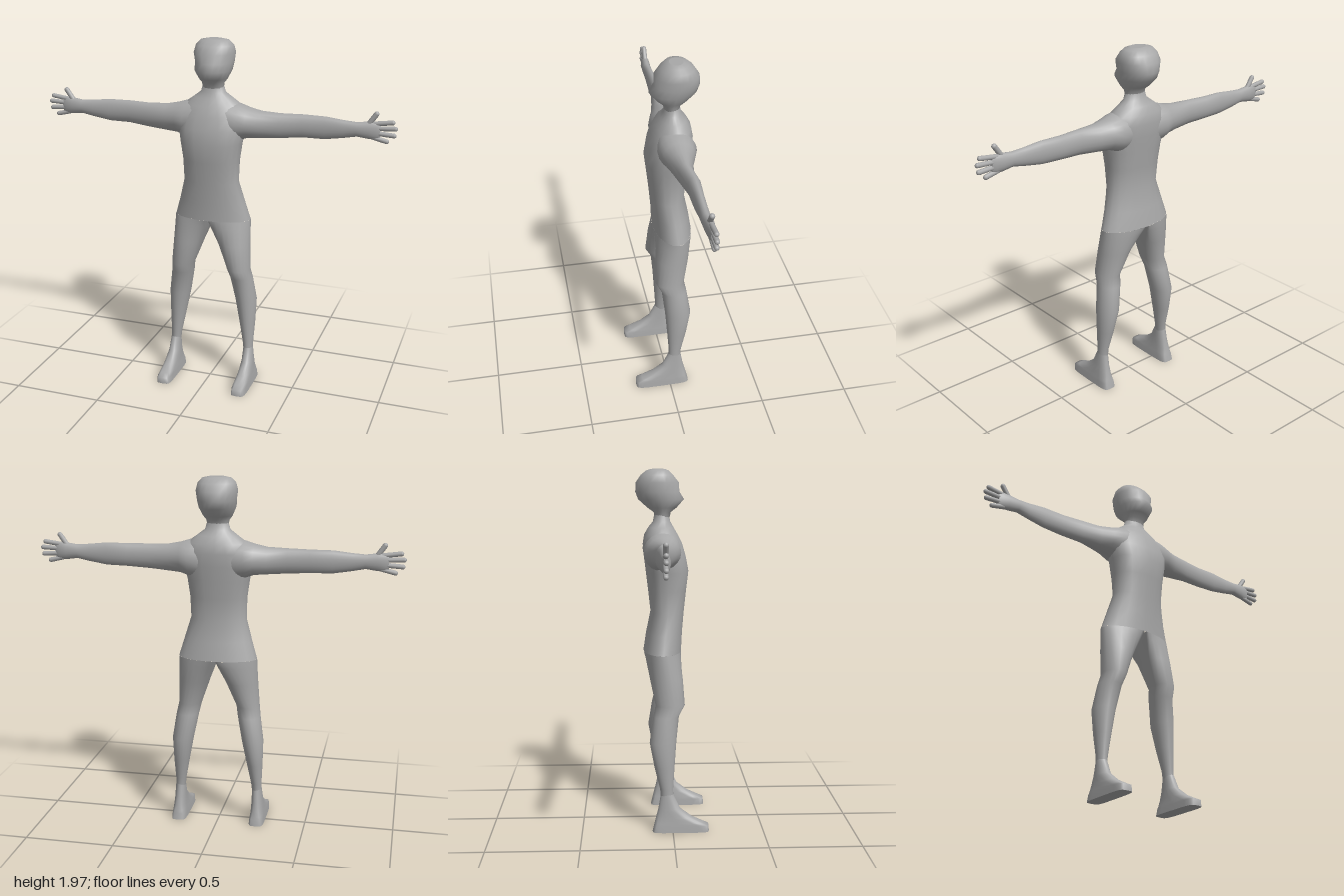
import * as THREE from 'three';

const SEG = 20;
const skin = new THREE.MeshStandardMaterial({ color: 0xa8a8a8 });
skin.name = 'plain grey';

const pow = (v, p) => Math.sign(v) * Math.abs(v) ** p;

// Upright section: height, x range, z range, p = squareness, d = blend to a half ellipse flat on its inner side
function levelRing([y, x0, x1, z0, z1, p = 1, d = 0]) {
  return Array.from({ length: SEG }, (_, i) => {
    const t = (i / SEG) * Math.PI * 2;
    const c = pow(Math.cos(t), p);
    const s = Math.abs(Math.sin(t)) < 1e-6 ? 0 : pow(Math.sin(t), p);
    const half = Math.sign(s) * Math.sqrt(Math.max(0, 1 - ((1 + c) / 2) ** 2));
    const z = s * (1 - d) + half * d;
    return [(x0 + x1) / 2 + ((x1 - x0) / 2) * c, y, (z0 + z1) / 2 + ((z1 - z0) / 2) * z];
  });
}

// Sideways section for the arms: x, y range, z range
function sideRing([x, y0, y1, z0, z1]) {
  return Array.from({ length: SEG }, (_, i) => {
    const t = (i / SEG) * Math.PI * 2;
    return [x, (y0 + y1) / 2 + ((y1 - y0) / 2) * Math.cos(t), (z0 + z1) / 2 - ((z1 - z0) / 2) * Math.sin(t)];
  });
}

// Smooth skin through a row of sections, mirrored when side is -1
function loft(name, rings, { side = 1, capStart = false, capEnd = false } = {}) {
  const pos = [], idx = [];
  const add = (p) => pos.push(p[0] * side, p[1], p[2]) / 3 - 1;
  const tri = (a, b, c) => (side > 0 ? idx.push(a, b, c) : idx.push(a, c, b));
  rings.forEach((r) => r.forEach(add));
  for (let k = 0; k < rings.length - 1; k++) {
    for (let i = 0; i < SEG; i++) {
      const j = (i + 1) % SEG;
      const a = k * SEG + i, b = k * SEG + j;
      tri(a, a + SEG, b);
      tri(b, a + SEG, b + SEG);
    }
  }
  // Caps have their own corners so the rim stays crisp
  const cap = (ring, up) => {
    const mid = [0, 1, 2].map((n) => ring.reduce((sum, p) => sum + p[n], 0) / SEG);
    const m = add(mid);
    const first = m + 1;
    ring.forEach(add);
    for (let i = 0; i < SEG; i++) {
      const a = first + i, b = first + ((i + 1) % SEG);
      up ? tri(m, b, a) : tri(m, a, b);
    }
  };
  if (capStart) cap(rings[0], false);
  if (capEnd) cap(rings[rings.length - 1], true);
  const geo = new THREE.BufferGeometry();
  geo.setAttribute('position', new THREE.Float32BufferAttribute(pos, 3));
  geo.setIndex(idx);
  geo.computeVertexNormals();
  const mesh = new THREE.Mesh(geo, skin);
  mesh.name = name;
  return mesh;
}

// Rounded finger between two points
function finger(name, from, to, radius, side) {
  const a = new THREE.Vector3(from[0] * side, from[1], from[2]);
  const b = new THREE.Vector3(to[0] * side, to[1], to[2]);
  const dir = b.clone().sub(a);
  const geo = new THREE.CapsuleGeometry(radius, dir.length() - radius, 4, 10);
  const mesh = new THREE.Mesh(geo, skin);
  mesh.name = name;
  mesh.position.copy(a).add(b).multiplyScalar(0.5).addScaledVector(dir.clone().normalize(), -radius / 2);
  mesh.quaternion.setFromUnitVectors(new THREE.Vector3(0, 1, 0), dir.normalize());
  return mesh;
}

export function createModel() {
  const model = new THREE.Group();
  model.name = 'figure';
  const centred = ([y, w, z0, z1, p]) => levelRing([y, -w, w, z0, z1, p]);

  // Torso from hips to neck
  model.add(loft('torso', [
    [0.98, 0.22, -0.155, 0.055],
    [1.08, 0.19, -0.14, 0.06],
    [1.2, 0.155, -0.115, 0.07, 0.9],
    [1.32, 0.158, -0.128, 0.083, 0.85],
    [1.42, 0.172, -0.14, 0.095, 0.85],
    [1.5, 0.188, -0.15, 0.08, 0.85],
    [1.57, 0.185, -0.156, 0.06, 0.9],
    [1.62, 0.165, -0.148, 0.035],
    [1.66, 0.11, -0.125, 0.012],
    [1.69, 0.07, -0.1, -0.005],
    [1.73, 0.058, -0.092, -0.012],
  ].map(centred)));

  // Head
  model.add(loft('head', [
    [1.7, 0.058, -0.09, -0.012],
    [1.74, 0.062, -0.095, -0.002],
    [1.765, 0.08, -0.13, 0.03],
    [1.81, 0.1, -0.18, 0.07],
    [1.85, 0.105, -0.195, 0.045],
    [1.9, 0.111, -0.192, 0.042, 0.9],
    [1.94, 0.102, -0.165, 0.01, 0.9],
    [1.964, 0.08, -0.135, -0.015, 0.9],
    [1.972, 0.045, -0.11, -0.035],
  ].map(centred), { capEnd: true }));

  for (const side of [1, -1]) {
    const tag = side > 0 ? 'left' : 'right';

    // Leg, starting at the ankle and ending in half of the hip section
    model.add(loft(tag + 'Leg', [
      [0.18, 0.197, 0.25, -0.066, 0.003],
      [0.24, 0.19, 0.25, -0.07, 0.002],
      [0.36, 0.167, 0.256, -0.1, 0.01],
      [0.5, 0.14, 0.26, -0.126, 0.02],
      [0.64, 0.112, 0.24, -0.105, 0.035],
      [0.7, 0.1, 0.23, -0.092, 0.068],
      [0.84, 0.05, 0.224, -0.125, 0.062, 1, 0.3],
      [0.94, 0.014, 0.221, -0.148, 0.057, 1, 0.8],
      [0.98, 0, 0.22, -0.155, 0.055, 1, 1],
    ].map(levelRing), { side }));

    // Foot
    model.add(loft(tag + 'Foot', [
      [0, 0.182, 0.27, -0.112, 0.2, 0.4],
      [0.035, 0.185, 0.267, -0.104, 0.198, 0.4],
      [0.05, 0.187, 0.265, -0.1, 0.165, 0.5],
      [0.08, 0.19, 0.262, -0.093, 0.105, 0.7],
      [0.13, 0.193, 0.257, -0.08, 0.04, 0.9],
      [0.21, 0.196, 0.25, -0.066, 0.003],
    ].map(levelRing), { side, capStart: true }));

    // Arm with palm
    model.add(loft(tag + 'Arm', [
      [0.08, 1.42, 1.645, -0.14, 0.05],
      [0.15, 1.432, 1.634, -0.155, 0.048],
      [0.2, 1.45, 1.618, -0.138, 0.034],
      [0.27, 1.455, 1.604, -0.112, 0.012],
      [0.38, 1.464, 1.6, -0.088, -0.012],
      [0.5, 1.474, 1.6, -0.1, -0.03],
      [0.62, 1.476, 1.599, -0.09, -0.032],
      [0.72, 1.492, 1.588, -0.085, -0.035],
      [0.79, 1.506, 1.583, -0.084, -0.033],
      [0.85, 1.498, 1.592, -0.086, -0.036],
      [0.89, 1.496, 1.594, -0.081, -0.043],
      [0.91, 1.505, 1.585, -0.073, -0.051],
    ].map(sideRing), { side, capEnd: true }));

    // Fingers and thumb
    const tips = [[0.985, 1.595], [1, 1.562], [0.995, 1.524], [0.958, 1.488]];
    tips.forEach(([x, y], i) => {
      const base = [0.875, 1.58 - i * 0.024, -0.062];
      model.add(finger(tag + 'Finger' + (i + 1), base, [x, y, -0.062], 0.013, side));
    });
    model.add(finger(tag + 'Thumb', [0.84, 1.565, -0.06], [0.895, 1.645, -0.06], 0.014, side));
  }
  return model;
}
